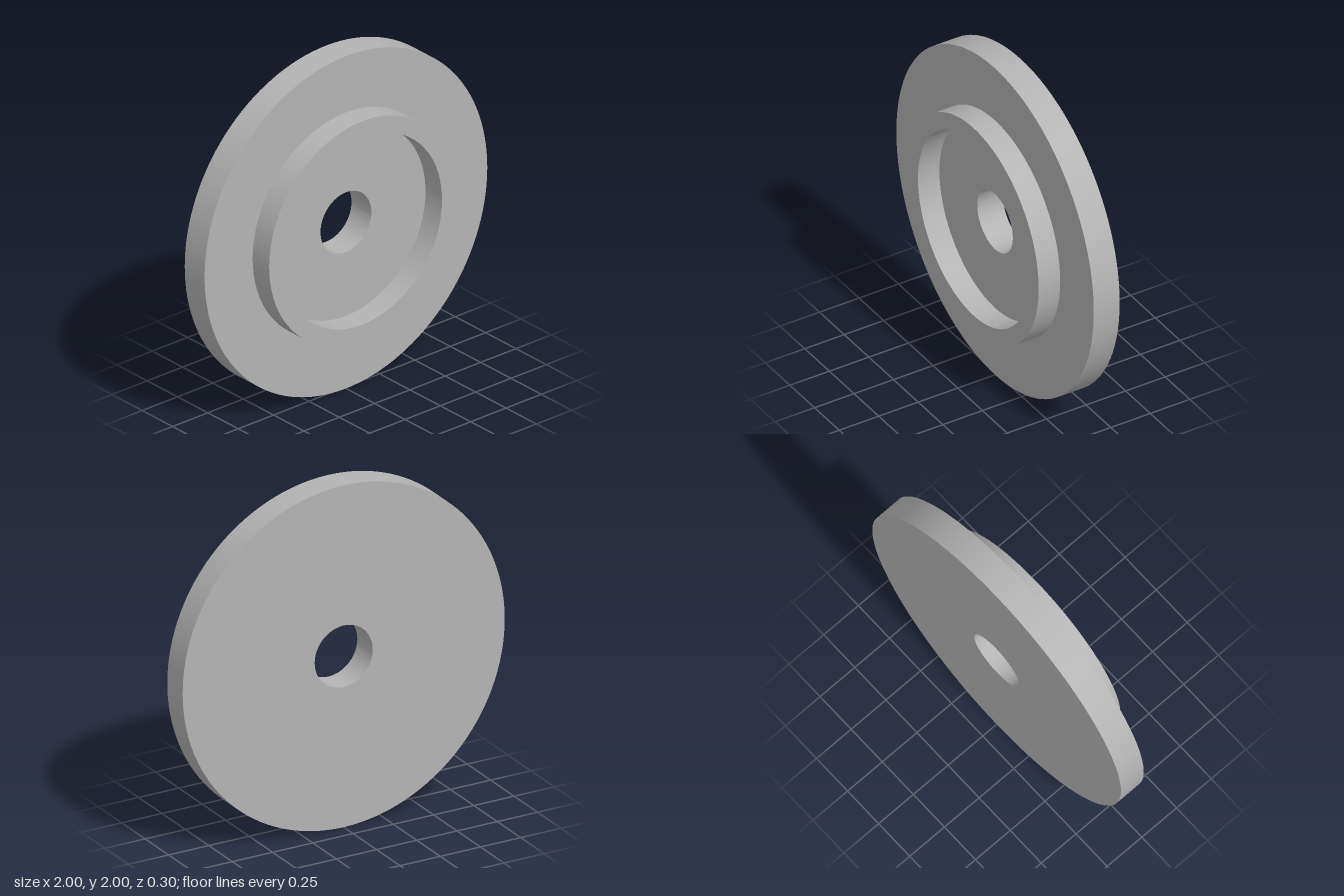
import * as THREE from 'three';
import { toCreasedNormals } from 'three/addons/utils/BufferGeometryUtils.js';

const SEGMENTS = 128;

// Revolve a [radius, z] profile around the z axis, keeping its corners sharp
function turned(name, profile, material) {
  const points = profile.map(([r, z]) => new THREE.Vector2(r, z));
  const geometry = new THREE.LatheGeometry(points, SEGMENTS).rotateX(Math.PI / 2);
  const mesh = new THREE.Mesh(toCreasedNormals(geometry, Math.PI / 6), material);
  mesh.name = name;
  return mesh;
}

export function createModel() {
  const grey = new THREE.MeshStandardMaterial({ color: 0xb4b4b4 });
  grey.name = 'grey';

  const back = -0.15, face = 0.014, front = 0.15;
  const hole = 0.18, discRadius = 1, rimInner = 0.563, rimOuter = 0.66;

  const model = new THREE.Group();
  model.name = 'flangedDisc';

  // Wide flat disc with a round bore through its centre
  model.add(turned('disc', [
    [hole, back], [discRadius, back], [discRadius, face], [hole, face], [hole, back],
  ], grey));

  // Raised ring standing on the front face, open where it meets the disc
  model.add(turned('raisedRing', [
    [rimOuter, face], [rimOuter, front], [rimInner, front], [rimInner, face],
  ], grey));

  model.position.y = discRadius;
  return model;
}
